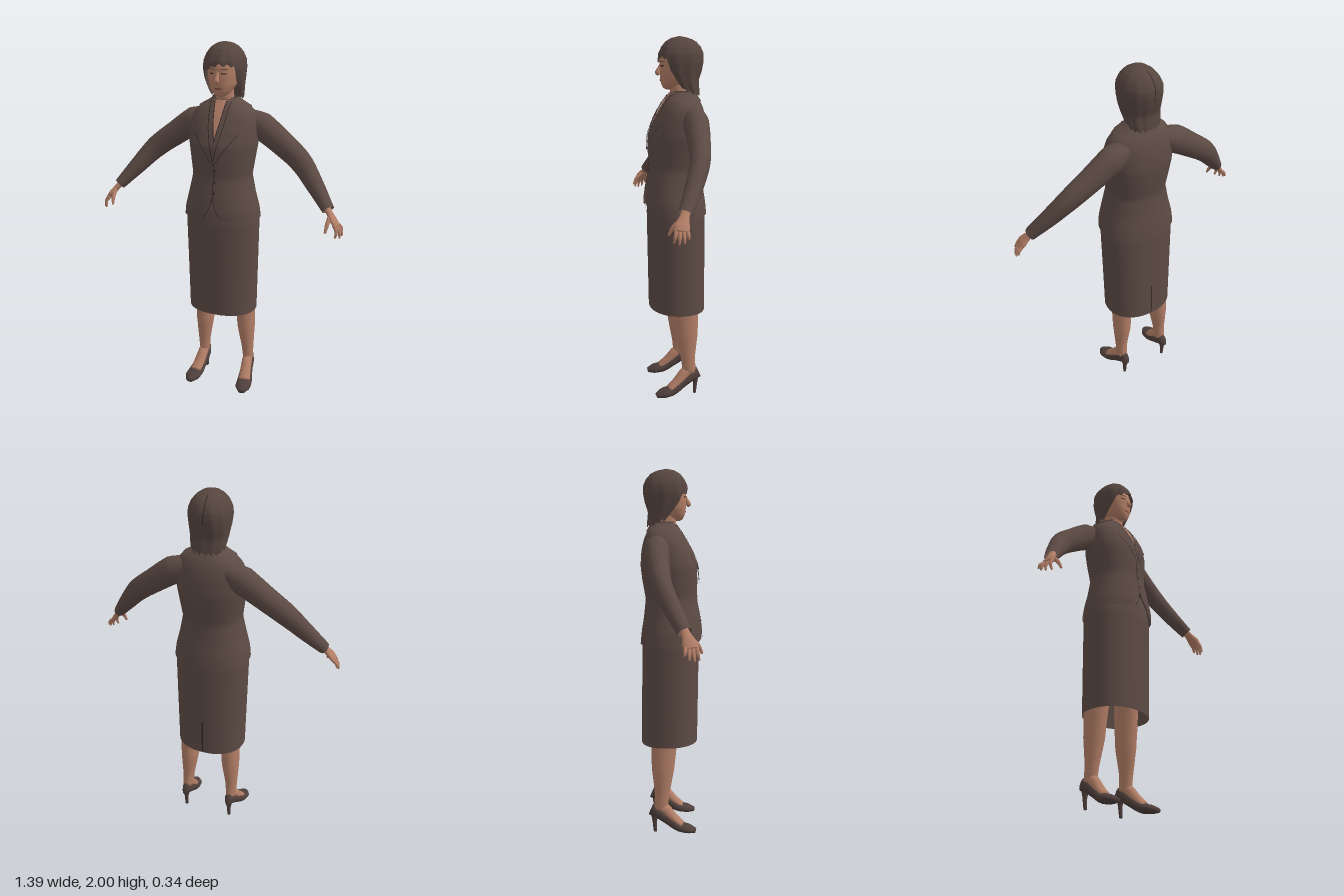
import * as THREE from 'three';
import { mergeVertices } from 'three/addons/utils/BufferGeometryUtils.js';

const paint = (name, color) => {
  const m = new THREE.MeshStandardMaterial({ color, side: THREE.DoubleSide });
  m.name = name;
  return m;
};
const suit = paint('suit brown', 0x5c4a44);
const hairColor = paint('hair brown', 0x56453f);
const shoeColor = paint('shoe brown', 0x4e3f3b);
const seam = paint('seam dark', 0x33282a);
const skin = paint('skin', 0xb27e66);
const lip = paint('lip', 0x8c5347);

// Body outlines: height, half width, front z, back z
const TORSO = [
  [1.05, 0.213, 0.172, -0.17], [1.12, 0.204, 0.174, -0.163], [1.2, 0.183, 0.163, -0.15],
  [1.3, 0.162, 0.143, -0.14], [1.4, 0.176, 0.145, -0.158], [1.48, 0.188, 0.142, -0.168],
  [1.56, 0.186, 0.112, -0.163], [1.62, 0.178, 0.08, -0.15], [1.66, 0.145, 0.056, -0.134],
  [1.69, 0.09, 0.036, -0.115], [1.71, 0.062, 0.022, -0.1],
];
const SKIRT = [
  [0.48, 0.194, 0.148, -0.165], [0.8, 0.2, 0.152, -0.163], [1.05, 0.205, 0.155, -0.16],
  [1.13, 0.195, 0.145, -0.15], [1.2, 0.16, 0.125, -0.125],
];
const NECK = [[1.6, 0.06, 0.03, -0.09], [1.68, 0.05, 0.022, -0.08], [1.78, 0.046, 0.035, -0.075]];
const HEAD = [
  [1.722, 0.004, 0.045, 0.03], [1.73, 0.028, 0.062, -0.01], [1.75, 0.05, 0.073, -0.05],
  [1.785, 0.07, 0.08, -0.09], [1.83, 0.08, 0.082, -0.11], [1.88, 0.084, 0.08, -0.12],
  [1.93, 0.075, 0.062, -0.11], [1.965, 0.05, 0.03, -0.08], [1.98, 0.001, -0.03, -0.032],
];
const HAIR = [
  [1.68, 0.08, -0.01, -0.132], [1.72, 0.09, 0.0, -0.13], [1.77, 0.099, 0.04, -0.125],
  [1.82, 0.106, 0.078, -0.142], [1.87, 0.111, 0.092, -0.152], [1.91, 0.107, 0.088, -0.152],
  [1.945, 0.092, 0.072, -0.137], [1.972, 0.07, 0.05, -0.112], [1.99, 0.042, 0.02, -0.075],
  [2.0, 0.001, -0.024, -0.026],
];

function outlineAt(rows, y) {
  let i = 0;
  while (i < rows.length - 2 && y > rows[i + 1][0]) i++;
  const t = THREE.MathUtils.clamp((y - rows[i][0]) / (rows[i + 1][0] - rows[i][0]), 0, 1);
  const [rx, zf, zb] = [1, 2, 3].map(k => THREE.MathUtils.lerp(rows[i][k], rows[i + 1][k], t));
  return { rx, zc: (zf + zb) / 2, rz: (zf - zb) / 2 };
}

// Smooth surface from a function of (u, v), both 0..1
function grid(nu, nv, fn) {
  const pos = [], index = [], w = nu + 1;
  for (let j = 0; j <= nv; j++) for (let i = 0; i <= nu; i++) pos.push(...fn(i / nu, j / nv));
  for (let j = 0; j < nv; j++) for (let i = 0; i < nu; i++) {
    const a = j * w + i;
    index.push(a, a + w, a + 1, a + 1, a + w, a + w + 1);
  }
  let g = new THREE.BufferGeometry();
  g.setAttribute('position', new THREE.Float32BufferAttribute(pos, 3));
  g.setIndex(index);
  g = mergeVertices(g, 1e-5);
  g.computeVertexNormals();
  return g;
}

// Upright shell around an outline; angle 0 is the front, +x follows
const P = 2.2;
const pw = (v) => Math.sign(v) * Math.abs(v) ** (2 / P);
function shell(rows, top, bottom, { from = -Math.PI, to = Math.PI, grow = 0, ease = 1, ripple = 0, n = 48 } = {}) {
  return grid(n, 32, (u, v) => {
    const a = from + (to - from) * u;
    const y = THREE.MathUtils.lerp(top(a), bottom(a), v ** ease);
    const o = outlineAt(rows, y), k = 1 + ripple * Math.sin(a * 11) * v;
    return [(o.rx + grow) * k * pw(Math.sin(a)), y, o.zc + (o.rz + grow) * k * pw(Math.cos(a))];
  });
}

// Thin patch lying on an outline's front (side 1) or back (side -1)
function patch(rows, left, right, lift = 0.004, side = 1) {
  const at = (pts, t) => {
    const f = t * (pts.length - 1), i = Math.min(Math.floor(f), pts.length - 2);
    return [0, 1].map(k => THREE.MathUtils.lerp(pts[i][k], pts[i + 1][k], f - i));
  };
  return grid(8, 20, (u, v) => {
    const l = at(left, v), r = at(right, v);
    const x = l[0] + (r[0] - l[0]) * u, y = l[1] + (r[1] - l[1]) * u;
    const o = outlineAt(rows, y);
    const d = Math.max(0, 1 - Math.abs(x / o.rx) ** P) ** (1 / P);
    return [x, y, o.zc + side * (o.rz * d + lift)];
  });
}
const line = (rows, pts, w, lift, side) =>
  patch(rows, pts.map(([x, y]) => [x - w / 2, y]), pts.map(([x, y]) => [x + w / 2, y]), lift, side);

// Tapered limb along rows of x, y, z, radius along ref, radius across
function limb(rows, { ref = [0, 0, 1], capped = true, n = 16, steps = 20 } = {}) {
  const curve = new THREE.CatmullRomCurve3(rows.map(r => new THREE.Vector3(r[0], r[1], r[2])));
  const last = rows.length - 1;
  return grid(n, steps, (u, v) => {
    const t = capped ? THREE.MathUtils.clamp((v * steps - 1) / (steps - 2), 0, 1) : v;
    const i = Math.min(Math.floor(t * last), last - 1), f = t * last - i;
    const k = capped && (v === 0 || v === 1) ? 0 : 1;
    const c = curve.getPoint(t), T = curve.getTangent(t);
    const U = new THREE.Vector3(...ref).addScaledVector(T, -T.dot(new THREE.Vector3(...ref))).normalize();
    const V = U.clone().cross(T), a = (u === 1 ? 0 : u) * Math.PI * 2;
    c.addScaledVector(U, k * Math.cos(a) * THREE.MathUtils.lerp(rows[i][3], rows[i + 1][3], f));
    c.addScaledVector(V, k * Math.sin(a) * THREE.MathUtils.lerp(rows[i][4], rows[i + 1][4], f));
    return c.toArray();
  });
}

export function createModel() {
  const model = new THREE.Group();
  const add = (name, geometry, material) => {
    const m = new THREE.Mesh(geometry, material);
    m.name = name;
    model.add(m);
    return m;
  };

  // Skirt and jacket; the jacket hem curves up at the centre front
  add('skirt', shell(SKIRT, () => 1.2, a => 0.495 + 0.006 * Math.cos(a)), suit);
  add('skirtVent', line(SKIRT, [[0, 0.7], [0, 0.5]], 0.007, 0.002, -1), seam);
  const hem = a => 1.063 + 0.012 * Math.cos(a) + 0.12 * Math.max(0, 1 - Math.abs(a) / 0.5) ** 2;
  add('jacket', shell(TORSO, () => 1.71, hem, { n: 96 }), suit);
  add('jacketCollar', shell(TORSO, () => 1.718, () => 1.665, { from: 0.75, to: 2 * Math.PI - 0.75, grow: 0.007 }), suit);
  add('jacketOpening', line(TORSO, [[0, 1.4], [0, 1.2]], 0.004, 0.002), seam);
  for (const y of [1.35, 1.29, 1.23]) add('button', line(TORSO, [[0.008, y + 0.006], [0.008, y - 0.006]], 0.012, 0.005), seam);

  // Open neckline
  add('chest', patch(TORSO, [[-0.04, 1.705], [-0.025, 1.6], [0, 1.52]], [[0.04, 1.705], [0.025, 1.6], [0.002, 1.52]], 0.003), skin);

  // Neck, head and face
  add('neck', shell(NECK, () => 1.78, () => 1.6), skin);
  add('head', shell(HEAD, () => 1.98, () => 1.722), skin);
  add('nose', limb([[0, 1.865, 0.072, 0.006, 0.008], [0, 1.835, 0.084, 0.01, 0.01],
    [0, 1.812, 0.094, 0.014, 0.015], [0, 1.802, 0.086, 0.008, 0.01]]), skin);
  add('lips', patch(HEAD, [[-0.022, 1.772], [-0.022, 1.77]], [[0.022, 1.772], [0.022, 1.77]], 0.002), lip);
  add('mouth', patch(HEAD, [[-0.02, 1.776], [-0.012, 1.765]], [[0.02, 1.776], [0.012, 1.765]], 0.004), lip);

  // Hair with a side-swept fringe, long at the sides and back
  const hairEnd = a => {
    const b = Math.abs(a), drop = THREE.MathUtils.smoothstep(b, 0.75, 1.15);
    const fringe = 1.893 + 0.025 * Math.sin(a) - 0.03 * b;
    const fall = 1.725 - 0.03 * THREE.MathUtils.smoothstep(b, 1.2, 2.2);
    return THREE.MathUtils.lerp(fringe, fall, drop) + 0.007 * Math.sin(a * 17);
  };
  add('hair', shell(HAIR, () => 2.0, hairEnd, { ease: 1.7, ripple: 0.025, n: 96 }), hairColor);
  add('hairParting', line(HAIR, [[-0.01, 1.985], [-0.012, 1.93], [-0.005, 1.85]], 0.005, 0.004, -1), seam);

  for (const s of [1, -1]) {
    const X = rows => rows.map(([x, ...rest]) => [s * x, ...rest]);
    const side = s > 0 ? 'left' : 'right';

    // Blouse collar, lapel and their dark edges
    add(side + 'BlouseCollar', patch(TORSO, X([[0.032, 1.705], [0.018, 1.6], [0.0, 1.5]]),
      X([[0.062, 1.7], [0.05, 1.57], [0.004, 1.42]]), 0.006), suit);
    add(side + 'BlouseEdge', line(TORSO, X([[0.032, 1.705], [0.018, 1.6], [0.0, 1.5]]), 0.004, 0.008), seam);
    add(side + 'Lapel', patch(TORSO, X([[0.058, 1.7], [0.042, 1.58], [0, 1.4]]),
      X([[0.09, 1.685], [0.115, 1.54], [0.004, 1.385]]), 0.009), suit);
    add(side + 'LapelInnerEdge', line(TORSO, X([[0.056, 1.7], [0.042, 1.58], [0, 1.4]]), 0.004, 0.011), seam);
    add(side + 'LapelOuterEdge', line(TORSO, X([[0.115, 1.54], [0.004, 1.385]]), 0.004, 0.011), seam);
    add(side + 'HemEdge', line(TORSO, X([[0.0, 1.2], [0.02, 1.135], [0.05, 1.09], [0.085, 1.078]]), 0.004, 0.002), seam);

    // Face details
    add(side + 'Eye', patch(HEAD, X([[0.02, 1.851], [0.02, 1.845]]), X([[0.046, 1.852], [0.046, 1.846]]), 0.003), seam);
    add(side + 'Brow', patch(HEAD, X([[0.016, 1.872], [0.016, 1.868]]), X([[0.052, 1.874], [0.052, 1.87]]), 0.003), hairColor);

    // Sleeve
    add(side + 'Sleeve', limb(X([[0.11, 1.6, -0.07, 0.06, 0.05], [0.19, 1.56, -0.075, 0.068, 0.076],
      [0.31, 1.478, -0.065, 0.06, 0.067], [0.42, 1.395, -0.045, 0.052, 0.061],
      [0.52, 1.285, 0.008, 0.045, 0.047], [0.606, 1.185, 0.065, 0.037, 0.032]]), { capped: false, steps: 30 }), suit);

    // Hand, fingers and thumb
    add(side + 'Palm', limb(X([[0.585, 1.21, 0.052, 0.022, 0.018], [0.617, 1.17, 0.073, 0.024, 0.016],
      [0.645, 1.135, 0.088, 0.038, 0.015], [0.662, 1.112, 0.094, 0.034, 0.012]])), skin);
    const tips = [[0.662, 1.06, 0.132], [0.683, 1.055, 0.11], [0.69, 1.062, 0.085], [0.685, 1.08, 0.062]];
    tips.forEach(([x, y, z], i) => {
      const zb = 0.119 - i * 0.017;
      add(side + 'Finger', limb(X([[0.65, 1.125, zb, 0.01, 0.01],
        [(0.665 + x) / 2 + 0.004, (1.12 + y) / 2, (zb + z) / 2, 0.009, 0.009], [x, y, z, 0.005, 0.005]]), { n: 8, steps: 8 }), skin);
    });
    add(side + 'Thumb', limb(X([[0.622, 1.165, 0.085, 0.013, 0.011], [0.618, 1.125, 0.128, 0.011, 0.011],
      [0.613, 1.085, 0.148, 0.006, 0.006]]), { n: 8, steps: 8 }), skin);

    // Leg and foot
    add(side + 'Leg', limb(X([[0.115, 0.65, -0.03, 0.075, 0.062], [0.126, 0.48, -0.04, 0.07, 0.053],
      [0.13, 0.36, -0.045, 0.062, 0.05], [0.138, 0.22, -0.05, 0.04, 0.034], [0.14, 0.13, -0.058, 0.038, 0.028]])), skin);
    const across = { ref: [1, 0, 0] };
    add(side + 'Foot', limb(X([[0.14, 0.15, -0.075, 0.026, 0.03], [0.142, 0.13, -0.035, 0.029, 0.035],
      [0.148, 0.085, 0.01, 0.032, 0.028], [0.157, 0.045, 0.06, 0.034, 0.02]]), across), skin);

    // High-heeled shoe
    add(side + 'Shoe', limb(X([[0.14, 0.13, -0.112, 0.016, 0.034], [0.14, 0.112, -0.07, 0.034, 0.034],
      [0.146, 0.072, -0.01, 0.037, 0.03], [0.155, 0.037, 0.045, 0.045, 0.028],
      [0.162, 0.024, 0.1, 0.045, 0.023], [0.166, 0.015, 0.138, 0.02, 0.012]]), across), shoeColor);
    add(side + 'Heel', limb(X([[0.14, 0.115, -0.09, 0.024, 0.024], [0.14, 0.06, -0.092, 0.012, 0.012],
      [0.14, 0, -0.088, 0.009, 0.009]]), { n: 10 }), shoeColor);
  }
  return model;
}
